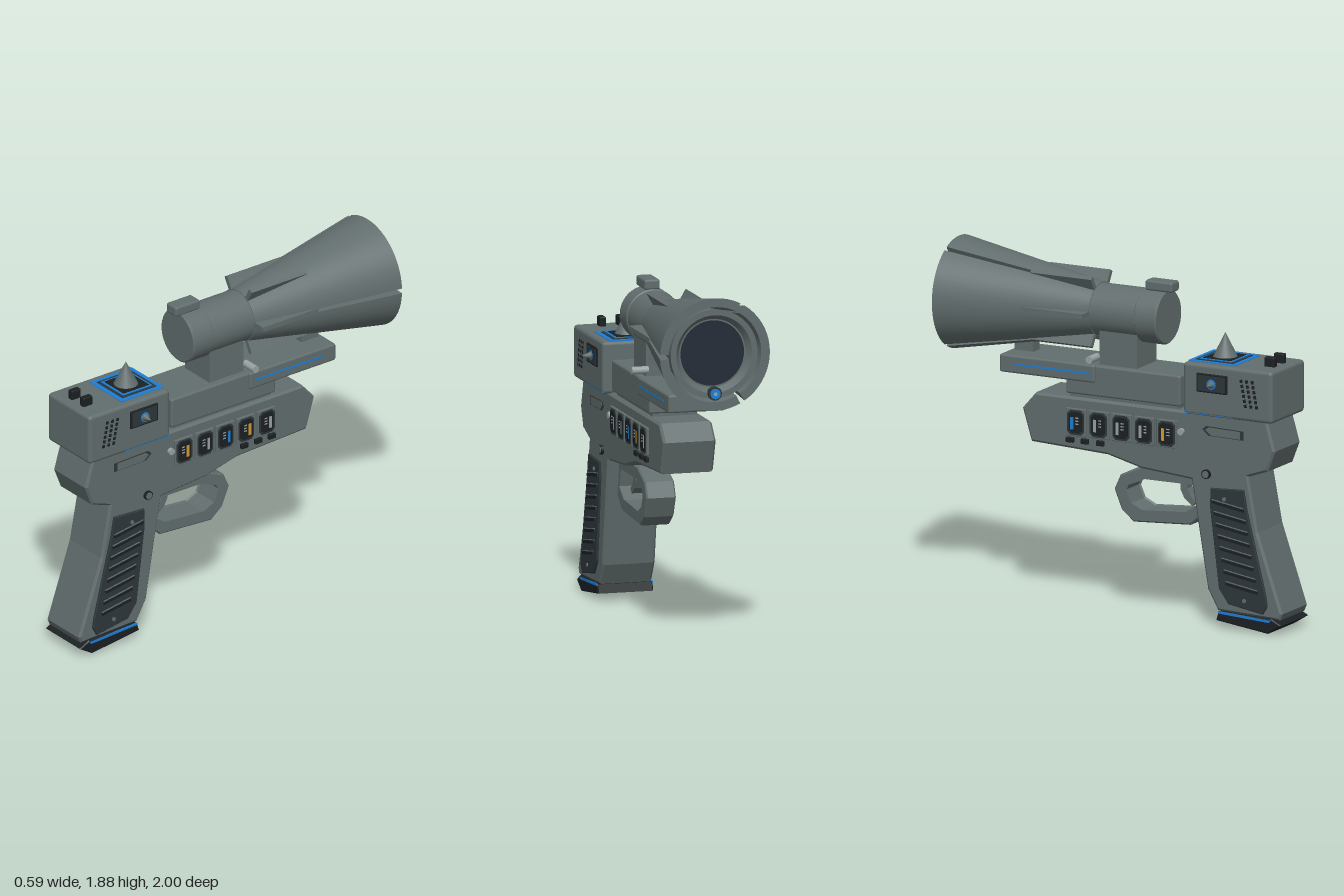
import * as THREE from 'three';
import { toCreasedNormals } from 'three/addons/utils/BufferGeometryUtils.js';
import { RoundedBoxGeometry } from 'three/addons/geometries/RoundedBoxGeometry.js';

const mat = (name, color, side = THREE.FrontSide) =>
  Object.assign(new THREE.MeshStandardMaterial({ color, side }), { name });

export function createModel() {
  const root = new THREE.Group();
  root.name = 'rayPistol';
  const grey = mat('gunmetal', 0x626d6d, THREE.DoubleSide);
  const dark = mat('darkPanel', 0x2e373b);
  const black = mat('black', 0x1b2023);
  const blue = mat('blue', 0x1c7ed6);
  const amber = mat('amber', 0xd79a2b);
  const pale = mat('paleGrey', 0x98a2a2);
  const lens = mat('lens', 0x222b38);

  const add = (name, geo, material, x = 0, y = 0, z = 0) => {
    const m = new THREE.Mesh(geo, material);
    m.name = name;
    m.position.set(x, y, z);
    root.add(m);
    return m;
  };
  const box = (name, material, w, h, d, x, y, z) =>
    add(name, new THREE.BoxGeometry(w, h, d), material, x, y, z);
  const softBox = (name, material, w, h, d, x, y, z, r = 0.012) =>
    add(name, new RoundedBoxGeometry(w, h, d, 2, r), material, x, y, z);

  // Side profile given as [z, y] points, extruded across x about its middle
  const toShape = (pts, Kind = THREE.Shape) => new Kind(pts.map(([z, y]) => new THREE.Vector2(-z, y)));
  const slab = (name, material, pts, width, { x = 0, bevel = 0, hole } = {}) => {
    const shape = toShape(pts);
    if (hole) shape.holes.push(toShape(hole, THREE.Path));
    const depth = width - 2 * bevel;
    const geo = new THREE.ExtrudeGeometry(shape, {
      depth, bevelEnabled: bevel > 0, bevelSize: bevel, bevelThickness: bevel, bevelOffset: -bevel, bevelSegments: 1,
    });
    geo.translate(0, 0, -depth / 2).rotateY(Math.PI / 2);
    return add(name, geo, material, x);
  };
  // Cylinder or cone lying across x, pointing to side s
  const peg = (name, material, r0, r1, len, s, x, y, z, seg = 20) => {
    const geo = new THREE.CylinderGeometry(r1, r0, len, seg).rotateZ(-s * Math.PI / 2);
    return add(name, geo, material, s * x, y, z);
  };

  // Frame and grip
  slab('frame', grey, [
    [0.91, 1.14], [0.957, 0.98], [0.914, 0.87], [0.80, 0.83], [0.855, 0.54], [1.0, 0.12], [0.985, 0.085],
    [0.62, 0.10], [0.56, 0.21], [0.496, 0.594], [0.464, 0.78], [0.17, 0.805], [-0.03, 0.856],
    [-0.48, 0.877], [-0.533, 1.05], [-0.453, 1.14]], 0.285, { bevel: 0.012 });
  slab('gripBase', black, [[1.0, 0.06], [0.92, 0.01], [0.615, 0.05], [0.63, 0.096], [0.94, 0.092]], 0.3, { bevel: 0.006 });

  // Trigger guard and trigger
  slab('triggerGuard', grey, [
    [0.49, 0.81], [0.14, 0.80], [0.013, 0.743], [-0.024, 0.663], [0.02, 0.556], [0.09, 0.50], [0.426, 0.52], [0.51, 0.59]],
    0.16, { bevel: 0.008, hole: [
      [0.462, 0.743], [0.158, 0.743], [0.056, 0.70], [0.04, 0.663], [0.07, 0.594], [0.14, 0.56], [0.40, 0.578], [0.487, 0.636]] });
  slab('trigger', grey, [
    [0.385, 0.76], [0.34, 0.76], [0.342, 0.69], [0.365, 0.645], [0.41, 0.61], [0.432, 0.63], [0.40, 0.665], [0.38, 0.70]], 0.06);

  // Rear housing with its top spike and knobs
  softBox('rearHousing', grey, 0.36, 0.277, 0.526, 0, 1.272, 0.70, 0.02);
  [[0.276, blue], [0.222, dark], [0.19, blue], [0.165, black]].forEach(([w, m], i) =>
    box('topPlate', m, w, 0.009, w, 0, 1.409 + i * 0.003, 0.585));
  add('topSpike', new THREE.ConeGeometry(0.068, 0.135, 24), grey, 0, 1.482, 0.59);
  for (const s of [-1, 1]) softBox('topKnob', black, 0.034, 0.055, 0.06, s * 0.05, 1.433, 0.885, 0.007);

  // Scope mount
  softBox('mountBlock', grey, 0.285, 0.165, 0.676, 0, 1.24, 0.062);
  box('mountFoot', grey, 0.24, 0.04, 0.64, 0, 1.145, 0.06);
  softBox('frontRail', grey, 0.31, 0.096, 0.56, 0, 1.278, -0.38);
  box('pedestal', grey, 0.21, 0.2, 0.22, 0, 1.41, 0.016);
  box('railPost', grey, 0.07, 0.1, 0.11, 0, 1.36, -0.58);

  // Details repeated on both sides
  const gripPanel = [[0.78, 0.76], [0.585, 0.75], [0.582, 0.65], [0.635, 0.22], [0.69, 0.144],
    [0.893, 0.11], [0.918, 0.155], [0.91, 0.21], [0.80, 0.65]];
  const lights = { '1': [amber, pale, blue, amber, pale], '-1': [amber, pale, pale, pale, blue] };
  for (const s of [-1, 1]) {
    slab('gripPanel', dark, gripPanel, 0.02, { x: s * 0.145, bevel: 0.004 });
    for (let i = 0; i < 8; i++) {
      const y = 0.665 - i * 0.061;
      const zc = 0.69 + i * 0.0115;
      const ridge = box('gripRidge', black, 0.014, 0.016, 0.19, s * 0.154, y, zc);
      ridge.rotation.x = 0.16;
      const edge = box('gripRidgeEdge', grey, 0.009, 0.005, 0.19, s * 0.155, y + 0.011, zc);
      edge.rotation.x = 0.16;
    }
    for (const [y, z] of [[0.70, 0.668], [0.172, 0.787]]) peg('gripScrew', grey, 0.011, 0.011, 0.01, s, 0.156, y, z, 12);
    slab('baseStripe', blue, [[0.94, 0.083], [0.93, 0.07], [0.63, 0.088], [0.63, 0.099]], 0.008, { x: s * 0.149 });

    // Row of indicator windows
    lights[s].forEach((m, i) => {
      const z = 0.327 - i * 0.134;
      softBox('windowFrame', grey, 0.02, 0.148, 0.118, s * 0.145, 1.01, z, 0.004);
      const oct = (w, h, c) => [[w, h - c], [w - c, h], [c - w, h], [-w, h - c], [-w, c - h], [c - w, -h], [w - c, -h], [-w + w * 2, c - h]]
        .map(([a, b]) => [z + a, 1.01 + b]);
      slab('windowRim', dark, oct(0.05, 0.066, 0.018), 0.008, { x: s * 0.153 });
      slab('windowGlass', black, oct(0.041, 0.056, 0.016), 0.008, { x: s * 0.155 });
      box('windowBar', m, 0.008, 0.066, 0.017, s * 0.157, 1.005, z - 0.02);
      for (let k = 0; k < 3; k++) box('windowMark', pale, 0.008, 0.006, 0.018, s * 0.157, 1.035 - k * 0.016, z + 0.01);
    });
    for (const z of [-0.067, -0.158, -0.245]) softBox('sideButton', black, 0.024, 0.028, 0.045, s * 0.146, 0.914, z, 0.004);

    // Slot, pivot pins and dial
    const slot = (k) => [[0.655 + 0.12 * k, 1.045 + 0.024 * k], [0.655 - 0.10 * k, 1.045 + 0.03 * k],
      [0.655 - 0.122 * k, 1.045 + 0.012 * k], [0.655 - 0.085 * k, 1.045 - 0.02 * k], [0.655 + 0.12 * k, 1.045 - 0.024 * k]];
    slab('slotRim', dark, slot(1), 0.008, { x: s * 0.142 });
    slab('slotFill', grey, slot(0.84), 0.009, { x: s * 0.144 });
    peg('framePin', pale, 0.018, 0.018, 0.03, s, 0.145, 1.03, 0.41);
    peg('dialRim', black, 0.025, 0.025, 0.03, s, 0.142, 0.82, 0.558);
    peg('dial', grey, 0.019, 0.019, 0.034, s, 0.143, 0.82, 0.558);
    peg('mountPin', pale, 0.02, 0.02, 0.09, s, 0.145, 1.36, -0.112);

    // Housing side: panel, spike, vents and stripes
    softBox('sidePanelRim', black, 0.02, 0.1, 0.18, s * 0.178, 1.313, 0.61, 0.004);
    box('sidePanel', dark, 0.008, 0.082, 0.16, s * 0.186, 1.313, 0.61);
    peg('sideSpikeRing', blue, 0.027, 0.027, 0.008, s, 0.189, 1.31, 0.61);
    peg('sideSpike', grey, 0.023, 0, 0.055, s, 0.214, 1.31, 0.61);
    for (let c = 0; c < 3; c++) for (let r = 0; r < 6; r++) {
      const dash = box('vent', black, 0.008, 0.017, 0.016, s * 0.178, 1.215 + r * 0.026, 0.872 - c * 0.033 - r * 0.005);
      dash.rotation.x = -0.2;
    }
    box('housingStripe', blue, 0.008, 0.01, 0.285, s * 0.174, 1.146, 0.585);
    box('railStripe', blue, 0.008, 0.01, 0.44, s * 0.153, 1.28, -0.35);
  }

  // Scope: everything turns about a line along z at this height
  const axisY = 1.591;
  const turn = (name, material, profile, start = 0, sweep = Math.PI * 2, seg = 48) => {
    const geo = new THREE.LatheGeometry(profile.map(([r, d]) => new THREE.Vector2(r, d)), seg, start, sweep);
    return add(name, toCreasedNormals(geo.rotateX(-Math.PI / 2), 0.6), material, 0, axisY, 0);
  };
  turn('scopeTube', grey, [[0, -0.255], [0.136, -0.255], [0.144, -0.247], [0.144, -0.13], [0.138, -0.125], [0.138, 0.2]]);
  softBox('scopeClip', grey, 0.084, 0.055, 0.16, 0, 1.757, 0.217);
  turn('hornCore', grey, [[0.125, 0.14], [0.235, 0.965], [0.205, 0.965], [0.18, 0.93], [0.172, 0.93]]);
  turn('hornLens', lens, [[0.18, 0.925], [0, 0.925]]);

  // Outer horn in three sectors parted by narrow slits
  const hornProfile = [[0.142, 0.14], [0.297, 0.98], [0.25, 0.98], [0.12, 0.14], [0.142, 0.14]];
  const third = Math.PI * 2 / 3;
  const gap = 0.045;
  for (let i = 0; i < 3; i++) {
    const start = Math.PI / 2 + i * third + gap;
    const sweep = third - 2 * gap;
    turn('hornShell', grey, hornProfile, start, sweep, 18);
    for (const phi of [start, start + sweep]) {
      const wall = new THREE.ShapeGeometry(new THREE.Shape(hornProfile.slice(0, 4).map(([r, d]) => new THREE.Vector2(r, d))));
      add('hornSlitWall', wall.rotateY(phi - Math.PI / 2).rotateX(-Math.PI / 2), grey, 0, axisY, 0);
    }
  }

  // Six tapering fins round the neck of the horn
  for (let i = 0; i < 6; i++) {
    const fin = new THREE.Shape([[0.12, 0.14], [0.212, 0.14], [0.212, 0.5], [0.17, 0.5]].map(([r, d]) => new THREE.Vector2(r, d)));
    const geo = new THREE.ExtrudeGeometry(fin, { depth: 0.026, bevelEnabled: false });
    geo.translate(0, 0, -0.013).rotateX(-Math.PI / 2).rotateZ(i * Math.PI / 3);
    add('hornFin', geo, grey, 0, axisY, 0);
  }

  // Muzzle bead
  const bead = (name, m, r, len) =>
    add(name, new THREE.CylinderGeometry(r, r, len, 20).rotateX(Math.PI / 2), m, 0, 1.385, -0.97);
  bead('beadCollar', dark, 0.036, 0.03);
  bead('bead', blue, 0.027, 0.044);
  bead('beadCentre', pale, 0.01, 0.05);

  return root;
}
